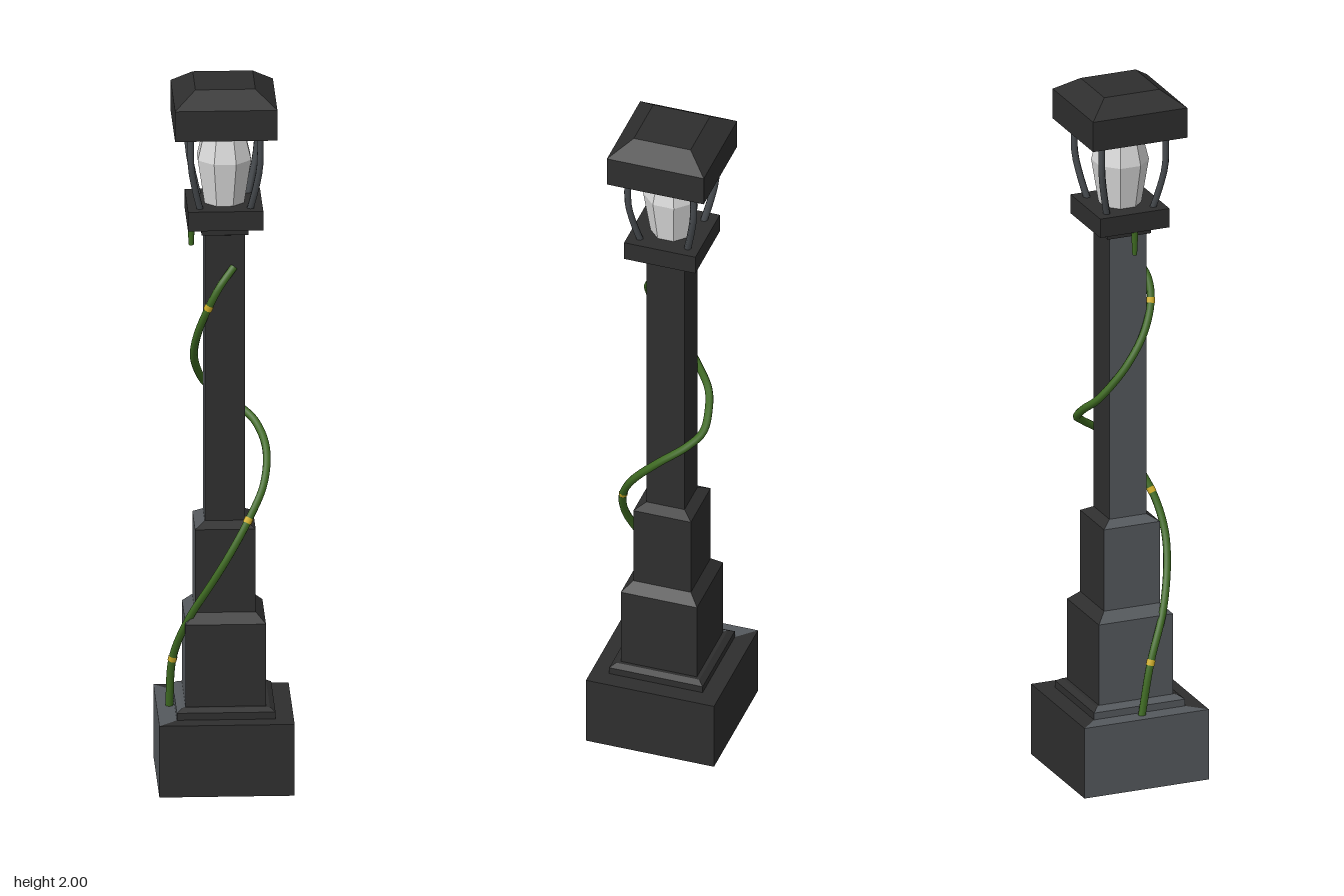
import * as THREE from 'three';

const mat = (name, color) => {
  const m = new THREE.MeshStandardMaterial({ color });
  m.name = name;
  return m;
};
const V = (p) => new THREE.Vector3(...p);

export function createModel() {
  const iron = mat('black iron', 0x2e2e2e);
  const slate = mat('slate iron', 0x55595d);
  const barMetal = mat('bar metal', 0x484c50);
  const glass = mat('frosted glass', 0xdadada);
  const green = mat('vine green', 0x3f6b22);
  const yellow = mat('blossom yellow', 0xd2b02a);

  const root = new THREE.Group();
  root.name = 'streetLamp';
  const add = (parent, name, geometry, material) => {
    const mesh = new THREE.Mesh(geometry, material);
    mesh.name = name;
    parent.add(mesh);
    return mesh;
  };
  const facet = (g) => {
    const flat = g.toNonIndexed();
    flat.computeVertexNormals();
    return flat;
  };

  // Square tower from a profile of [half width, height]; one strip per side
  const squareTower = (name, profile, leftoverSide = iron) => {
    const group = new THREE.Group();
    group.name = name;
    const pts = profile.map(([h, y]) => new THREE.Vector2(h * Math.SQRT2, y));
    ['Front', 'Left', 'Back', 'Right'].forEach((side, k) => {
      const g = new THREE.LatheGeometry(pts, 1, -Math.PI / 4 + k * Math.PI / 2, Math.PI / 2);
      add(group, name + side, facet(g), k === 3 ? leftoverSide : iron);
    });
    root.add(group);
  };

  // Stepped post, with its right side in slate
  squareTower('base', [[0, 0], [0.185, 0], [0.185, 0.205], [0, 0.205]], slate);
  squareTower('post', [
    [0.135, 0.205], [0.135, 0.225], [0.12, 0.235], [0.11, 0.235], [0.11, 0.47], [0.083, 0.497],
    [0.083, 0.735], [0.055, 0.752], [0.055, 1.575],
  ], slate);
  squareTower('collar', [[0.05, 1.57], [0.064, 1.575], [0.064, 1.605]]);
  squareTower('platform', [[0, 1.6], [0.103, 1.6], [0.103, 1.655], [0, 1.655]]);
  squareTower('cap', [[0, 1.87], [0.14, 1.87], [0.14, 1.957], [0.082, 2], [0, 2]]);

  // Faceted lamp glass
  const glassProfile = [[0, 1.65], [0.058, 1.65], [0.079, 1.78], [0.056, 1.872], [0, 1.872]];
  add(root, 'lampGlass', facet(new THREE.LatheGeometry(
    glassProfile.map((p) => new THREE.Vector2(...p)), 8, Math.PI / 8)), glass);

  // Bent bars at the four corners
  const barPath = [[0.068, 1.65], [0.082, 1.71], [0.094, 1.78], [0.095, 1.875]];
  for (const sx of [1, -1]) {
    for (const sz of [1, -1]) {
      const curve = new THREE.CatmullRomCurve3(barPath.map(([h, y]) => V([sx * h, y, sz * h])));
      add(root, 'cornerBar', new THREE.TubeGeometry(curve, 8, 0.01, 6), barMetal);
    }
  }

  // Vine winding up the post
  const vine = new THREE.CatmullRomCurve3([
    [-0.15, 0.2, 0.0], [-0.142, 0.35, 0.03], [-0.1, 0.48, 0.085], [-0.035, 0.6, 0.125],
    [0.01, 0.68, 0.135], [0.06, 0.77, 0.12], [0.105, 0.86, 0.075], [0.115, 0.94, 0.0],
    [0.088, 0.995, -0.075], [0.05, 1.025, -0.107], [0, 1.065, -0.106], [-0.045, 1.1, -0.09],
    [-0.07, 1.15, -0.055], [-0.082, 1.21, -0.012], [-0.072, 1.29, 0.04], [-0.045, 1.37, 0.072],
    [-0.015, 1.43, 0.075], [0.025, 1.48, 0.052],
  ].map(V));
  add(root, 'vine', new THREE.TubeGeometry(vine, 110, 0.011, 8), green);
  const tip = new THREE.CylinderGeometry(0.011, 0.007, 0.08, 8);
  tip.translate(-0.09, 1.57, 0.005);
  add(root, 'vineTip', tip, green);

  // Yellow blossom bands around the vine at given heights
  for (const height of [0.35, 0.77, 1.37]) {
    let t = 0;
    while (t < 1 && vine.getPointAt(t).y < height) t += 0.002;
    const span = [-0.005, 0, 0.005].map((d) => vine.getPointAt(t + d));
    add(root, 'blossomBand', new THREE.TubeGeometry(new THREE.CatmullRomCurve3(span), 2, 0.0125, 8), yellow);
  }
  return root;
}
